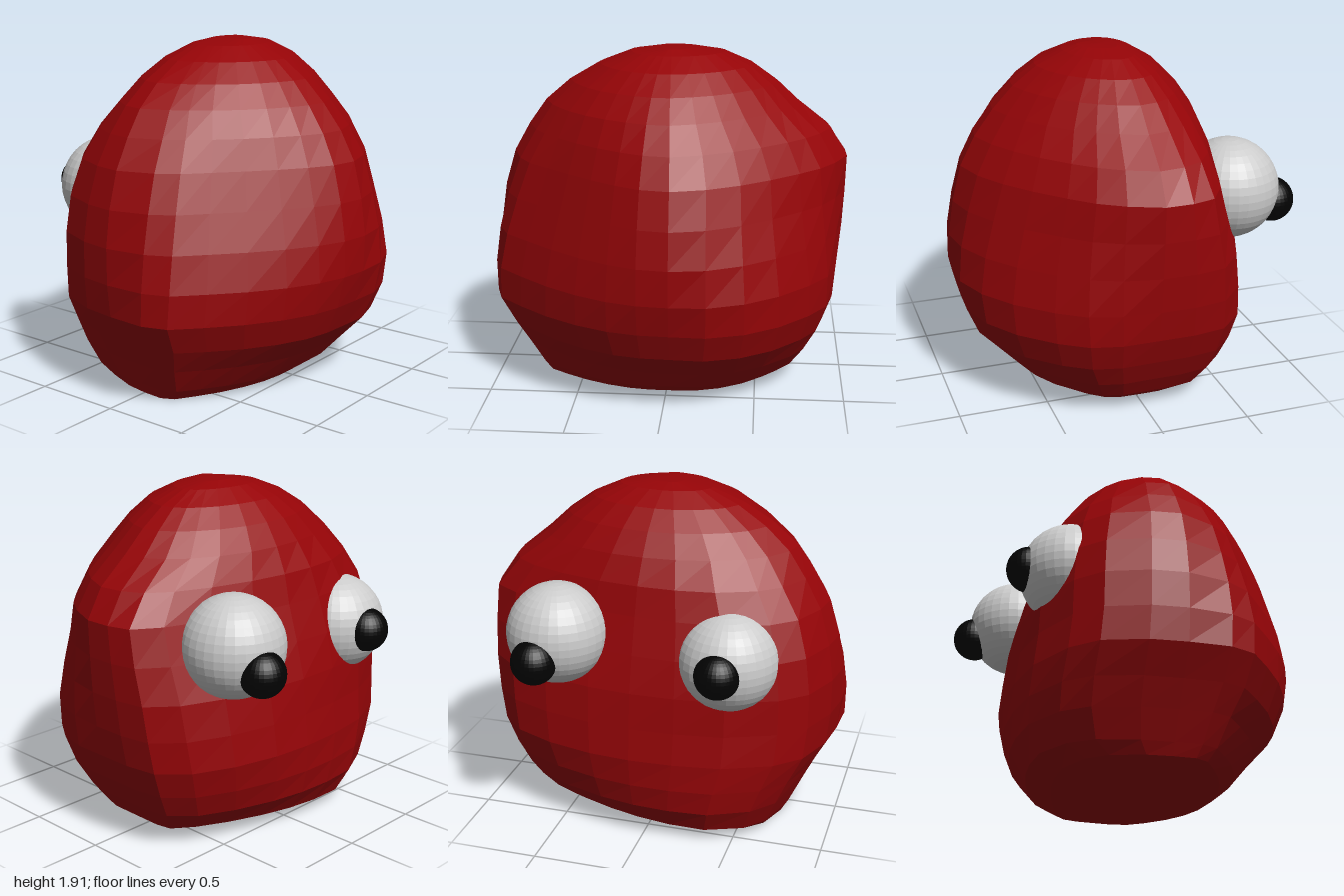
import * as THREE from 'three';

// Plan outline of the body in unit form, from +x round through the front (+z)
const OUTLINE = [
  [1, 0], [.97, .22], [.91, .4], [.8, .56], [.63, .75], [.45, .89], [.25, .98], [.05, 1], [-.12, .98],
  [-.28, .92], [-.45, .82], [-.62, .69], [-.78, .54], [-.92, .4], [-.98, .25], [-1, 0], [-.97, -.28],
  [-.88, -.6], [-.74, -.78], [-.47, -.94], [-.2, -.99], [.05, -1], [.3, -.97], [.58, -.88], [.82, -.74],
  [.97, -.54], [1, -.28],
];

// Body levels: height, reach to -x, +x, back (-z), front (+z),
// swell of the front corners, lean of the back towards -x
const LEVELS = [
  [.06, .4, .35, .25, .25, 0, 0],
  [.025, .72, .64, .44, .47, .06, .15],
  [.09, .75, .73, .58, .56, .07, .1],
  [.22, .82, .8, .67, .67, .08, .06],
  [.36, .89, .87, .7, .8, .08, .03],
  [.52, .98, .93, .71, .87, .07, 0],
  [.7, 1, .96, .69, .92, .03, 0],
  [.9, 1, .98, .67, .93, -.03, .02],
  [1.1, .97, .99, .62, .905, -.08, .06],
  [1.3, .91, .995, .56, .855, -.11, .07],
  [1.46, .82, .9, .52, .77, -.12, .05],
  [1.6, .72, .73, .45, .66, -.11, 0],
  [1.72, .58, .6, .37, .54, -.09, 0],
  [1.82, .41, .46, .27, .4, -.05, 0],
  [1.89, .23, .3, .15, .24, 0, 0],
  [1.915, .06, .14, .06, .16, 0, 0],
];

// Loft the outline through the levels and close both ends with a fan
function bodyGeometry() {
  const n = OUTLINE.length;
  const pos = [];
  const index = [];
  for (const [y, left, right, back, front, swell, lean] of LEVELS) {
    // upper levels turn from the boxy outline into an ellipse
    const round = THREE.MathUtils.smoothstep(y, 1.2, 1.7);
    for (const [ox, oz] of OUTLINE) {
      const corner = oz > 0 ? 2 * Math.abs(ox) * oz : 0;
      const k = THREE.MathUtils.lerp(1, 1 / Math.hypot(ox, oz), round) * (1 + swell * corner);
      const x = ox * k * (ox < 0 ? left : right);
      const z = oz * k * (oz < 0 ? back * (1 + 2 * lean * ox * oz) : front);
      const tilt = y < .15 ? .025 * x : 0; // underside leans to one side
      pos.push(x, y + tilt, z);
    }
  }
  const last = LEVELS.length - 1;
  const bottom = pos.length / 3;
  pos.push(0, .07, 0, .04, 1.92, .05);
  for (let i = 0; i < n; i++) {
    const j = (i + 1) % n;
    for (let r = 0; r < last; r++) {
      const a = r * n + i, b = r * n + j;
      index.push(a, a + n, b, b, a + n, b + n);
    }
    index.push(bottom, i, j, bottom + 1, last * n + j, last * n + i);
  }
  const geometry = new THREE.BufferGeometry();
  geometry.setAttribute('position', new THREE.Float32BufferAttribute(pos, 3));
  geometry.setIndex(index);
  geometry.computeVertexNormals();
  return geometry;
}

export function createModel() {
  const model = new THREE.Group();
  const paint = (color) => new THREE.MeshStandardMaterial({ color, flatShading: true });
  const red = paint(0x960407), white = paint(0xcccccc), black = paint(0x030303);

  const add = (name, geometry, material, position = [0, 0, 0]) => {
    const mesh = new THREE.Mesh(geometry, material);
    mesh.name = name;
    mesh.position.set(...position);
    model.add(mesh);
  };

  add('body', bodyGeometry(), red);

  // Bulging eyes on the back side, each with a round pupil
  const ball = new THREE.SphereGeometry(.28, 32, 20);
  const dot = new THREE.SphereGeometry(.125, 32, 20);
  add('leftEye', ball, white, [.49, 1.17, -.56]);
  add('leftPupil', dot, black, [.535, 1.085, -.805]);
  add('rightEye', ball, white, [-.45, 1.08, -.475]);
  add('rightPupil', dot, black, [-.445, 1.08, -.705]);

  return model;
}
